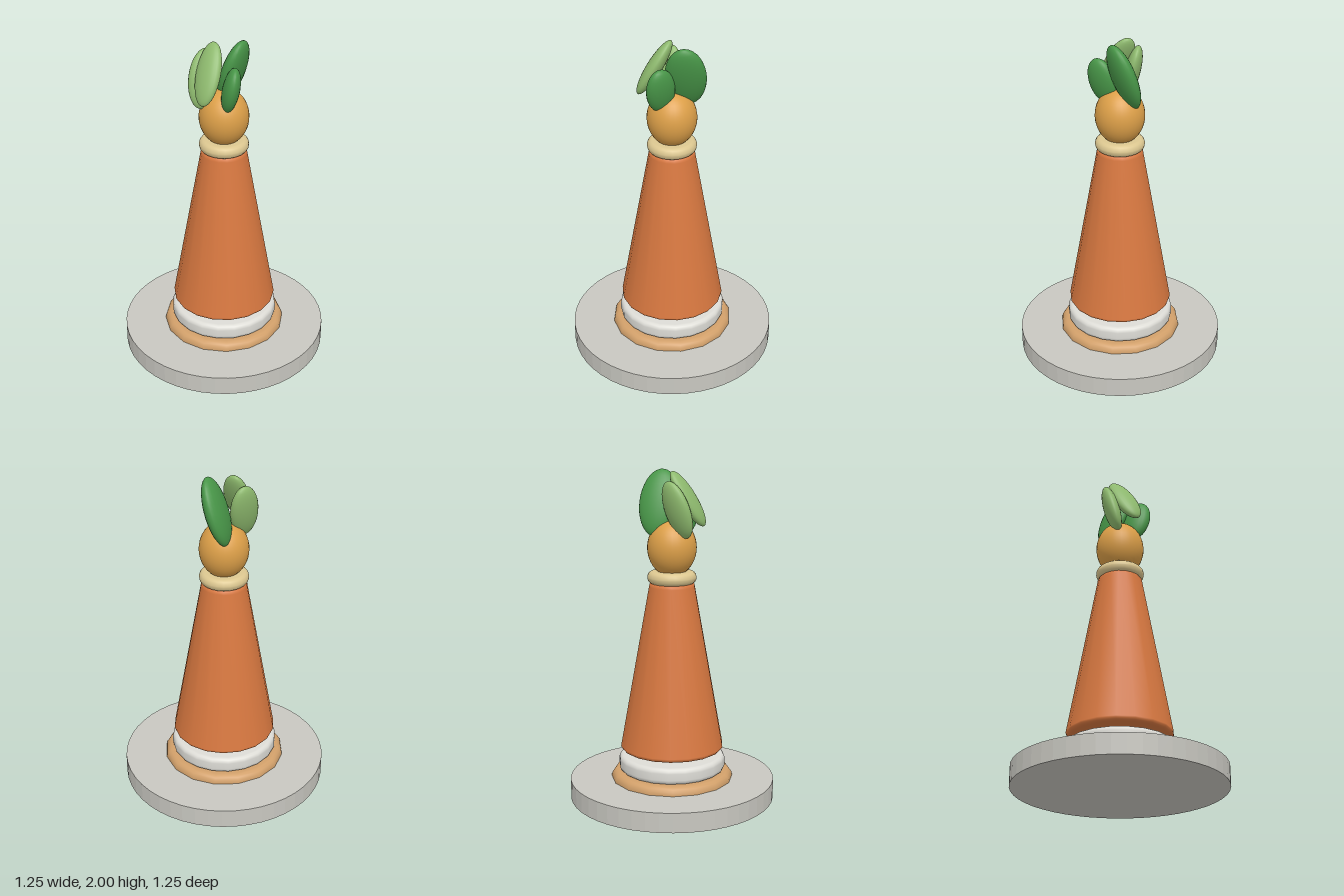
import * as THREE from 'three';

const mat = (name, color, extra = {}) =>
  Object.assign(new THREE.MeshStandardMaterial({ color, ...extra }), { name });

export function createModel() {
  const model = new THREE.Group();
  model.name = 'coneOrnament';

  const stone = mat('stone grey', 0xc8c7c0, { flatShading: true });
  const wood = mat('tan wood', 0xd2a06a);
  const white = mat('off white', 0xdddcd6);
  const orange = mat('terracotta orange', 0xd87840);
  const cream = mat('cream', 0xdcc790);
  const gold = mat('golden yellow', 0xdc9f48);
  const green = mat('leaf green', 0x489648);
  const paleGreen = mat('pale leaf green', 0x8eba6e);

  const add = (name, geometry, material) => {
    const mesh = new THREE.Mesh(geometry, material);
    mesh.name = name;
    model.add(mesh);
    return mesh;
  };

  // Solid of revolution with straight sides and rounded rims
  const roundedDrum = (r0, y0, r1, y1, bevel, sides) => {
    const pts = [new THREE.Vector2(0, y0)];
    const steps = 4;
    for (let i = 0; i <= steps; i++) {
      const a = (i / steps) * Math.PI / 2;
      pts.push(new THREE.Vector2(r0 - bevel + bevel * Math.sin(a), y0 + bevel - bevel * Math.cos(a)));
    }
    for (let i = 0; i <= steps; i++) {
      const a = (i / steps) * Math.PI / 2;
      pts.push(new THREE.Vector2(r1 - bevel + bevel * Math.cos(a), y1 - bevel + bevel * Math.sin(a)));
    }
    pts.push(new THREE.Vector2(0, y1));
    return new THREE.LatheGeometry(pts, sides);
  };

  // Base and stacked rings
  const base = add('base', new THREE.CylinderGeometry(0.625, 0.625, 0.12, 48), stone);
  base.position.y = 0.06;
  add('woodRing', roundedDrum(0.372, 0.07, 0.372, 0.17, 0.045, 16), wood);
  add('whiteRing', roundedDrum(0.325, 0.17, 0.325, 0.27, 0.03, 20), white);

  // Floating cone body
  add('coneBody', roundedDrum(0.314, 0.303, 0.138, 1.335, 0.025, 18), orange);

  // Collar and bulb
  add('collar', roundedDrum(0.147, 1.328, 0.147, 1.402, 0.034, 24), cream);
  const bulb = add('bulb', new THREE.SphereGeometry(1, 32, 24), gold);
  bulb.scale.set(0.147, 0.172, 0.147);
  bulb.position.y = 1.542;

  // Leaves: flattened ellipsoids set by centre, length direction and width direction
  const leafShape = new THREE.SphereGeometry(1, 24, 18);
  const leaf = (name, material, centre, along, across, [length, width, thickness]) => {
    const up = new THREE.Vector3(...along).normalize();
    const side = new THREE.Vector3(...across);
    side.addScaledVector(up, -side.dot(up)).normalize();
    const mesh = add(name, leafShape, material);
    mesh.quaternion.setFromRotationMatrix(
      new THREE.Matrix4().makeBasis(side, up, new THREE.Vector3().crossVectors(side, up)));
    mesh.scale.set(width, length, thickness);
    mesh.position.set(...centre);
  };
  leaf('largeLeaf', green, [0.08, 1.803, 0], [0, 0.944, 0.329], [0.97, 0, -0.25], [0.205, 0.119, 0.058]);
  leaf('frontLeaf', green, [-0.042, 1.747, 0.092], [0, 0.97, 0.25], [0.72, 0, -0.7], [0.142, 0.09, 0.05]);
  leaf('sideLeaf', paleGreen, [-0.108, 1.835, -0.02], [0.48, 0.85, -0.2], [0, 0, 1], [0.185, 0.082, 0.045]);
  leaf('backLeaf', paleGreen, [-0.07, 1.775, -0.092], [0.3, 0.94, -0.13], [0.92, 0, 0.38], [0.175, 0.093, 0.048]);

  return model;
}
